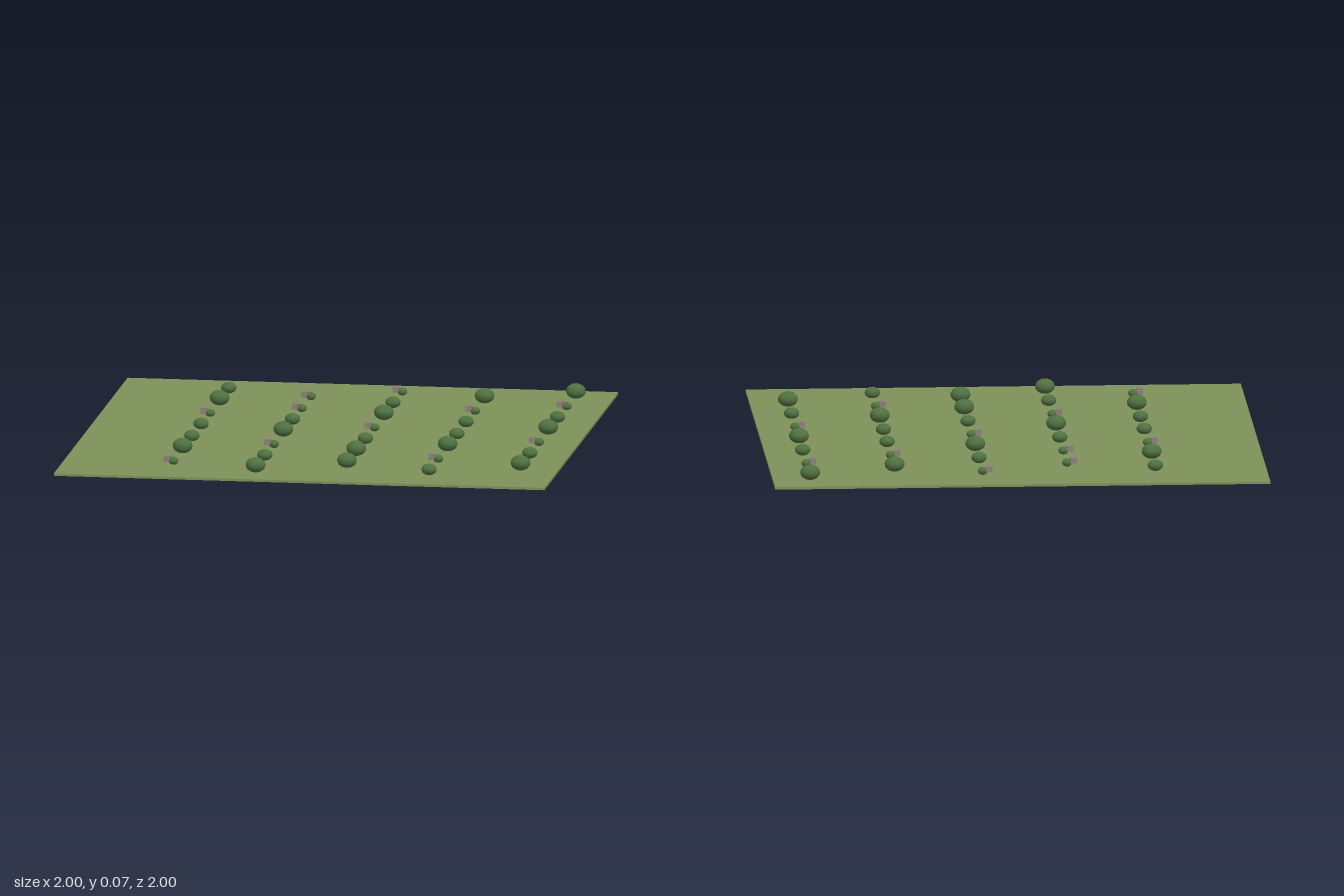
import * as THREE from 'three';

export function createModel() {
  const model = new THREE.Group();
  const mat = (color) => new THREE.MeshStandardMaterial({ color });
  const grass = mat(0x7d9159), leaf = mat(0x4f7040), stone = mat(0x8f7f7c);

  // Thin square of ground
  const ground = new THREE.Mesh(new THREE.BoxGeometry(2, 0.01, 2), grass);
  ground.name = 'ground';
  ground.position.y = 0.005;
  model.add(ground);

  // Squashed spheres for the three sizes: radii and centre height
  const sizes = {
    B: { name: 'largeBush', r: [0.04, 0.031, 0.034], y: 0.04 },
    M: { name: 'mediumBush', r: [0.031, 0.023, 0.026], y: 0.032 },
    S: { name: 'smallBush', r: [0.02, 0.016, 0.017], y: 0.027 },
  };
  const ball = new THREE.SphereGeometry(1, 24, 16);
  const block = new THREE.BoxGeometry(0.026, 0.024, 0.02);

  function addPlant(type, x, z) {
    const { name, r, y } = sizes[type];
    const plant = new THREE.Group();
    plant.name = name;
    plant.position.set(x, 0, z);
    const bush = new THREE.Mesh(ball, leaf);
    bush.name = 'foliage';
    bush.scale.set(...r);
    bush.position.y = y;
    plant.add(bush);
    // The smallest bushes have a little block beside them
    if (type === 'S') {
      const b = new THREE.Mesh(block, stone);
      b.name = 'block';
      b.position.set(-0.026, 0.035, 0);
      plant.add(b);
    }
    model.add(plant);
  }

  // Rows along z, spaced a quarter unit: x, first z, sizes in order
  const rows = [
    [-0.55, -0.75, 'MBSMMBS'],
    [-0.2, -0.65, 'SSMBSMB'],
    [0.15, -0.8, 'SMBSMBB'],
    [0.5, -0.7, 'BSMMBSM'],
    [0.85, -0.85, 'BSMBSMB'],
  ];
  for (const [x, z0, types] of rows)
    [...types].forEach((t, i) => addPlant(t, x, z0 + i * 0.25));

  return model;
}
